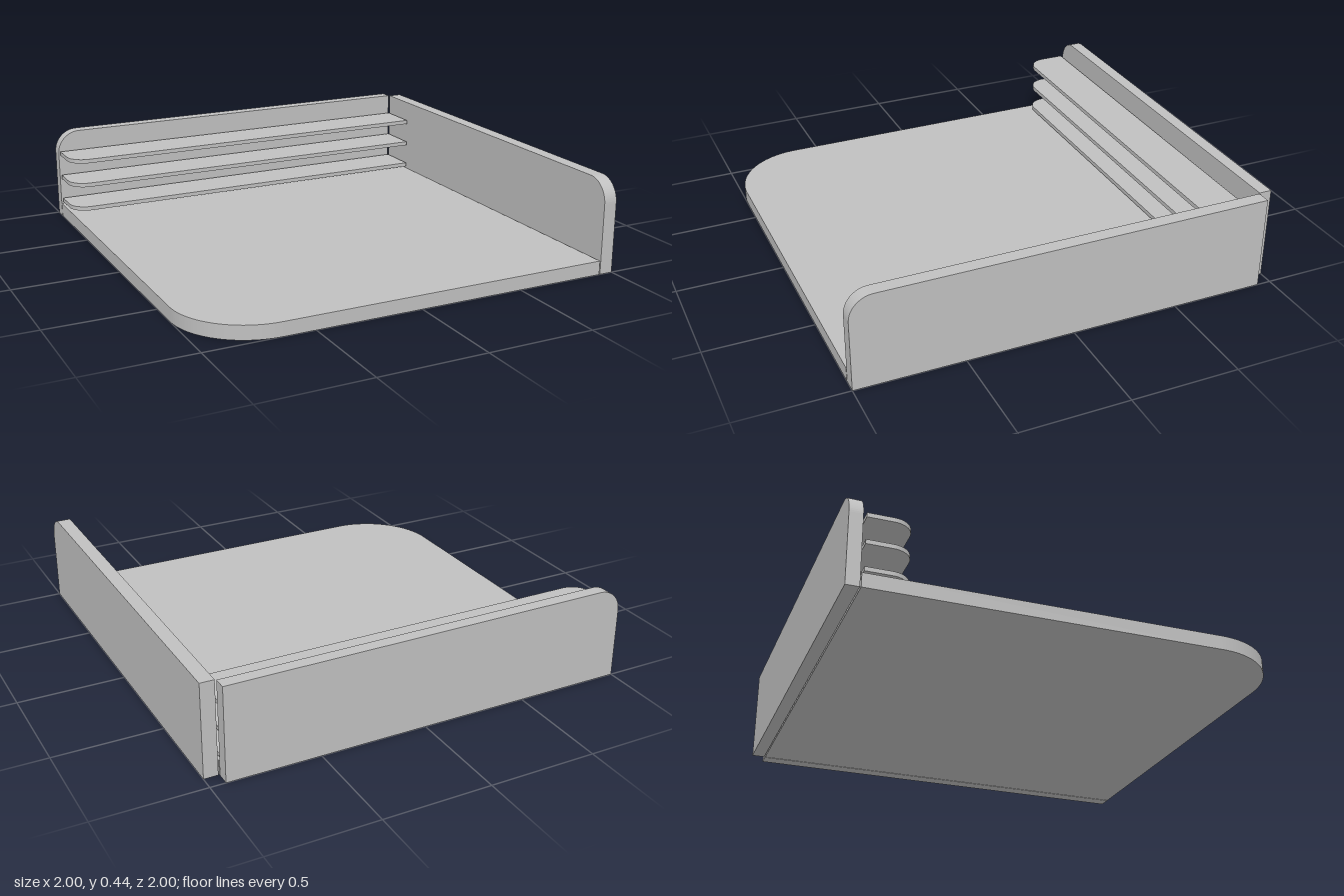
import * as THREE from 'three';

// Rectangular slab from (0,0) to (w,h) with its (0,h) corner rounded, extruded along +z
function slab(w, h, r, depth, segments) {
  const s = new THREE.Shape();
  s.moveTo(0, 0);
  s.lineTo(w, 0);
  s.lineTo(w, h);
  s.lineTo(r, h);
  s.absarc(r, h - r, r, Math.PI / 2, Math.PI, false);
  s.lineTo(0, 0);
  return new THREE.ExtrudeGeometry(s, { depth, bevelEnabled: false, curveSegments: segments });
}

export function createModel() {
  const group = new THREE.Group();
  const grey = new THREE.MeshStandardMaterial({ color: 0xc0c0c0 });
  grey.name = 'lightGrey';

  const add = (name, geometry, x, y, z) => {
    const mesh = new THREE.Mesh(geometry, grey);
    mesh.name = name;
    mesh.position.set(x, y, z);
    group.add(mesh);
  };

  // Horizontal plate whose front corner on the -x side is rounded
  const plate = (name, x, top, z, w, d, r, thickness, segments) =>
    add(name, slab(w, d, r, thickness, segments).rotateX(Math.PI / 2), x, top, z);

  // Base with a large rounded corner
  plate('base', -1, 0.065, -0.935, 1.93, 1.935, 0.35, 0.065, 16);

  // Back wall, and side wall turned so its rounded end faces the front
  add('backWall', slab(1.93, 0.44, 0.11, 0.06, 10), -1, 0, -1);
  add('sideWall', slab(1.935, 0.44, 0.11, 0.065, 10).rotateY(Math.PI / 2), 0.935, 0, 1);

  // Three thin shelves in front of the back wall
  [0.097, 0.22, 0.343].forEach((top, i) =>
    plate(`shelf${i + 1}`, -0.995, top, -0.925, 1.92, 0.205, 0.09, 0.02, 10));

  return group;
}
